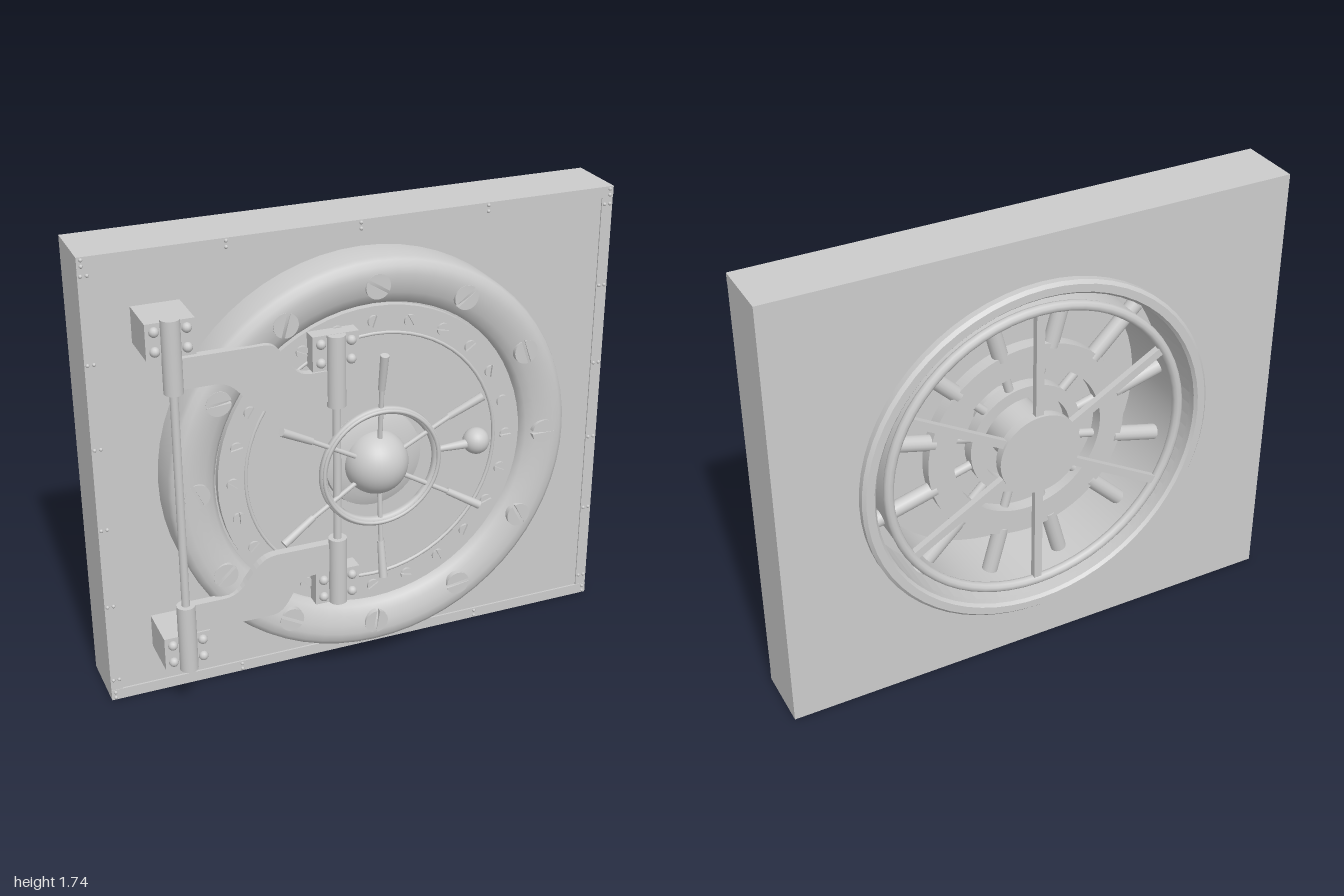
import * as THREE from 'three';
import { toCreasedNormals } from 'three/addons/utils/BufferGeometryUtils.js';

const CY = 0.868; // height of the door axis
const mat = new THREE.MeshStandardMaterial({ color: 0xcccccc, side: THREE.DoubleSide });
const V = (x, y, z) => new THREE.Vector3(x, y, z);

function add(parent, name, geometry, x = 0, y = 0, z = 0) {
  const m = new THREE.Mesh(geometry, mat);
  m.name = name;
  m.position.set(x, y, z);
  parent.add(m);
  return m;
}

function group(parent, name, y = 0) {
  const g = new THREE.Group();
  g.name = name;
  g.position.y = y;
  parent.add(g);
  return g;
}

// Revolve [radius, z] points around the z axis
function turned(points, seg = 64, crease = 0.6) {
  const g = new THREE.LatheGeometry(points.map(p => new THREE.Vector2(p[0], p[1])), seg);
  g.rotateX(Math.PI / 2);
  return toCreasedNormals(g, crease);
}

// Flat washer with square edges
const washer = (r0, r1, z0, z1, seg = 64) =>
  turned([[r1, z0], [r1, z1], [r0, z1], [r0, z0], [r1, z0]], seg);

// Round bar between two points
function bar(parent, name, a, b, r0, r1 = r0, seg = 16) {
  const d = b.clone().sub(a);
  const m = add(parent, name, new THREE.CylinderGeometry(r1, r0, d.length(), seg));
  m.position.copy(a).addScaledVector(d, 0.5);
  m.quaternion.setFromUnitVectors(V(0, 1, 0), d.normalize());
  return m;
}

const polar = (r, a, z) => V(r * Math.cos(a), r * Math.sin(a), z);

// Slotted screw head: two half discs either side of a gap
function slottedHead(r, depth) {
  const g0 = Math.asin(0.13);
  const halves = [0, Math.PI].map(o => {
    const s = new THREE.Shape();
    s.absarc(0, 0, r, o + g0, o + Math.PI - g0, false);
    s.closePath();
    return s;
  });
  return new THREE.ExtrudeGeometry(halves, { depth, bevelEnabled: false, curveSegments: 12 });
}

function buildWall(root) {
  const wall = group(root, 'wall');
  const s = new THREE.Shape();
  s.moveTo(-1, 0).lineTo(1, 0).lineTo(1, 1.737).lineTo(-1, 1.737).closePath();
  const hole = new THREE.Path();
  hole.absarc(0, CY, 0.65, 0, Math.PI * 2, true);
  s.holes.push(hole);
  add(wall, 'wallSlab', new THREE.ExtrudeGeometry(s, { depth: 0.236, bevelEnabled: false, curveSegments: 40 }), 0, 0, -0.23);

  // Edge strips with paired rivets
  const rivet = new THREE.SphereGeometry(0.007, 8, 6);
  for (const y of [0.021, 1.716]) {
    add(wall, 'edgeStrip', new THREE.BoxGeometry(2, 0.042, 0.012), 0, y, 0.007);
    for (const x of [-0.985, -0.49, 0, 0.49, 0.985])
      for (const d of [-0.011, 0.011]) add(wall, 'stripRivet', rivet, x, y + d, 0.014);
  }
  for (const x of [-0.978, 0.978]) {
    add(wall, 'sideStrip', new THREE.BoxGeometry(0.044, 1.653, 0.008), x, CY, 0.007);
    for (let i = 0; i < 6; i++)
      for (const d of [-0.011, 0.011]) add(wall, 'stripRivet', rivet, x + d, 0.085 + i * 0.317, 0.011);
  }

  // Rounded rim around the rear opening
  add(wall, 'rearRim', turned([[0.697, -0.225], [0.645, -0.225], [0.645, -0.255], [0.655, -0.267],
    [0.685, -0.267], [0.697, -0.255], [0.697, -0.225]].reverse()), 0, CY, 0);
}

function buildDoor(root) {
  const door = group(root, 'door', CY);
  add(door, 'frontRing', turned([[0.772, 0], [0.772, 0.128], [0.764, 0.148], [0.745, 0.162], [0.715, 0.167],
    [0.68, 0.163], [0.645, 0.153], [0.615, 0.138], [0.6, 0.12], [0.597, 0.09], [0.597, 0], [0.772, 0]], 64, 0.9));
  add(door, 'boltPlate', washer(0.49, 0.59, 0.07, 0.125));
  add(door, 'plateLip', new THREE.TorusGeometry(0.487, 0.007, 8, 64), 0, 0, 0.123);
  add(door, 'centrePanel', turned([[0, 0.07], [0.598, 0.07], [0.598, 0.1], [0.482, 0.1], [0.482, 0.118], [0, 0.118]]));

  const big = slottedHead(0.046, 0.03), small = slottedHead(0.023, 0.014);
  for (let i = 0; i < 12; i++) {
    const m = add(door, 'ringScrew', big);
    m.position.copy(polar(0.677, i * Math.PI / 6, 0.138));
    m.rotation.z = i * 1.9;
  }
  for (let i = 0; i < 24; i++) {
    const m = add(door, 'plateScrew', small);
    m.position.copy(polar(0.535, i * Math.PI / 12, 0.12));
    m.rotation.z = i * 2.3;
  }

  // Hand wheel
  const wheel = group(door, 'handWheel');
  add(wheel, 'hubBase', turned([[0.19, 0.115], [0.185, 0.132], [0.14, 0.15], [0, 0.15]], 48));
  add(wheel, 'hubBall', new THREE.SphereGeometry(0.12, 32, 24), 0, 0, 0.147);
  add(wheel, 'wheelRim', turned([[0.225, 0.18], [0.236, 0.19], [0.234, 0.206], [0.222, 0.21],
    [0.208, 0.203], [0.204, 0.188], [0.212, 0.18], [0.225, 0.18]], 64, 1.2));
  add(wheel, 'wheelRimBead', new THREE.TorusGeometry(0.222, 0.007, 8, 64), 0, 0, 0.21);
  for (let i = 0; i < 6; i++) {
    const a = Math.PI / 6 + i * Math.PI / 3;
    bar(wheel, 'wheelSpoke', polar(0.08, a, 0.185), polar(0.32, a, 0.203), 0.009);
    bar(wheel, 'wheelGrip', polar(0.305, a, 0.2), polar(0.445, a, 0.226), 0.013, 0.016);
  }

  // Small lever with a ball end
  bar(door, 'lever', V(0.25, 0, 0.15), V(0.385, 0, 0.15), 0.011, 0.019);
  add(door, 'leverPost', washer(0, 0.03, 0.11, 0.15, 20), 0.4, 0, 0);
  add(door, 'leverBall', new THREE.SphereGeometry(0.05, 24, 16), 0.405, 0.003, 0.145);
}

function buildLockWork(root) {
  const lock = group(root, 'lockWork', CY);
  add(lock, 'doorDrum', washer(0.575, 0.6, -0.225, 0.08));
  add(lock, 'drumRim', new THREE.TorusGeometry(0.587, 0.019, 10, 64), 0, 0, -0.23);
  add(lock, 'boltCarrier', washer(0.3, 0.4, -0.155, -0.105));
  add(lock, 'innerCarrier', washer(0.18, 0.225, -0.14, -0.09, 48));
  add(lock, 'hubColumn', washer(0, 0.11, -0.22, 0.08, 40));
  add(lock, 'rearHub', washer(0, 0.162, -0.25, -0.215, 48));
  for (let i = 0; i < 12; i++) {
    const a = Math.PI / 12 + i * Math.PI / 6;
    bar(lock, 'lockBolt', polar(0.38, a, -0.13), polar(0.63, a, -0.13), 0.03);
    bar(lock, 'innerPin', polar(0.21, a, -0.115), polar(0.31, a, -0.115), 0.017);
  }
  for (let i = 0; i < 6; i++) {
    const a = Math.PI / 6 + i * Math.PI / 3;
    const m = add(lock, 'rearBar', new THREE.BoxGeometry(0.44, 0.032, 0.025));
    m.position.copy(polar(0.365, a, -0.228));
    m.rotation.z = a;
  }
}

function buildHinges(root) {
  const hinge = group(root, 'hinge', CY);
  const WX = -0.745, DX = -0.163, Z = 0.182;
  const bolt = new THREE.SphereGeometry(0.018, 12, 8);

  // Mounting block with four bolts
  const mount = (x, y, zBack) => {
    add(hinge, 'hingeBlock', new THREE.BoxGeometry(0.172, 0.13, 0.18 - zBack), x, y, (0.18 + zBack) / 2);
    for (const dx of [-0.056, 0.056])
      for (const dy of [-0.035, 0.035]) add(hinge, 'hingeBolt', bolt, x + dx, y + dy, 0.182);
  };

  for (const s of [1, -1]) {
    mount(WX, s * 0.607, 0);
    mount(DX, s * 0.469, 0.11);
    bar(hinge, 'wallKnuckle', V(WX, s * 0.415, Z), V(WX, s * 0.682, Z), 0.034, 0.034, 24);
    bar(hinge, 'doorKnuckle', V(DX, s * 0.265, Z), V(DX, s * 0.533, Z), 0.034, 0.034, 24);

    // Cranked arm from wall knuckle to door knuckle
    const p = new THREE.Shape();
    p.moveTo(WX, s * 0.535).lineTo(-0.42, s * 0.535);
    p.bezierCurveTo(-0.34, s * 0.53, -0.35, s * 0.405, -0.26, s * 0.402);
    p.lineTo(DX, s * 0.402).lineTo(DX, s * 0.285).lineTo(-0.4, s * 0.285);
    p.bezierCurveTo(-0.5, s * 0.29, -0.5, s * 0.42, -0.6, s * 0.422);
    p.lineTo(WX, s * 0.422).closePath();
    add(hinge, 'hingeArm', new THREE.ExtrudeGeometry(p, { depth: 0.034, bevelEnabled: false, curveSegments: 14 }), 0, 0, 0.15);
  }
  bar(hinge, 'wallHingeRod', V(WX, -0.42, Z), V(WX, 0.42, Z), 0.015);
  bar(hinge, 'doorHingeRod', V(DX, -0.27, Z), V(DX, 0.27, Z), 0.015);
}

export function createModel() {
  const root = new THREE.Group();
  root.name = 'vaultDoor';
  buildWall(root);
  buildDoor(root);
  buildLockWork(root);
  buildHinges(root);
  return root;
}
